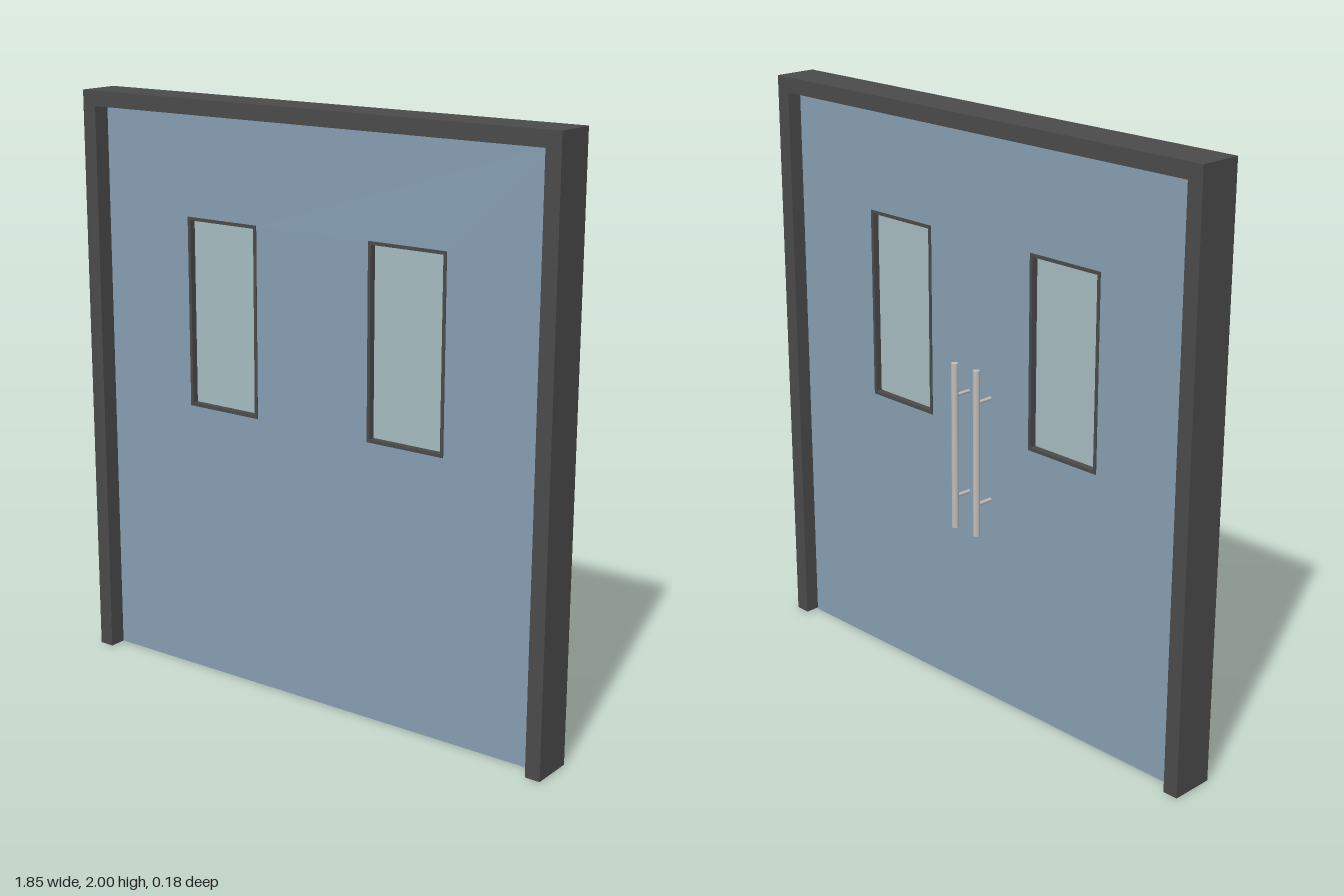
import * as THREE from 'three';

const paint = (name, color) => {
  const m = new THREE.MeshStandardMaterial({ color });
  m.name = name;
  return m;
};

// Closed path of a rectangle, for outlines and holes
const rect = (Type, x0, x1, y0, y1) =>
  new Type([[x0, y0], [x1, y0], [x1, y1], [x0, y1]].map(([x, y]) => new THREE.Vector2(x, y)));

// Extrude a shape between two z planes
const slab = (shape, z0, z1) =>
  new THREE.ExtrudeGeometry(shape, { depth: z1 - z0, bevelEnabled: false }).translate(0, 0, z0);

export function createModel() {
  const frameGrey = paint('frame grey', 0x4a4a4a);
  const doorBlue = paint('door blue', 0x869eb2);
  const glassGreen = paint('pale glass', 0xa5bbc0);
  const steel = paint('brushed steel', 0xbfbbb8);

  const model = new THREE.Group();
  model.name = 'doubleDoor';
  const add = (name, geometry, material, parent = model) => {
    const mesh = new THREE.Mesh(geometry, material);
    mesh.name = name;
    parent.add(mesh);
    return mesh;
  };

  // Surrounding frame: two jambs and a header in one piece
  const W = 0.923, J = 0.87, H = 1.948;
  const arch = new THREE.Shape(
    [[-W, 0], [-J, 0], [-J, H], [J, H], [J, 0], [W, 0], [W, 2], [-W, 2]]
      .map(([x, y]) => new THREE.Vector2(x, y)));
  add('doorFrame', slab(arch, -0.06, 0.09), frameGrey);

  // Door panel with two window openings
  const y0 = 0.953, y1 = 1.602, rim = 0.011;
  const windows = [[-0.518, -0.228], [0.218, 0.508]];
  const panel = rect(THREE.Shape, -0.87, 0.863, 0, H);
  for (const [x0, x1] of windows) {
    panel.holes.push(rect(THREE.Path, x0 + 0.003, x1 - 0.003, y0 + 0.003, y1 - 0.003));
  }
  add('doorPanel', slab(panel, -0.015, 0.03), doorBlue);

  // Window casings and panes
  for (const [x0, x1] of windows) {
    const group = new THREE.Group();
    group.name = 'window';
    model.add(group);
    const casing = rect(THREE.Shape, x0, x1, y0, y1);
    casing.holes.push(rect(THREE.Path, x0 + rim, x1 - rim, y0 + rim, y1 - rim));
    add('windowCasing', slab(casing, -0.018, 0.033), frameGrey, group);
    const pane = rect(THREE.Shape, x0 + rim, x1 - rim, y0 + rim, y1 - rim);
    add('windowPane', slab(pane, 0.0045, 0.0105), glassGreen, group);
  }

  // Pull bars on the back, each on two standoffs
  for (const x of [-0.055, 0.045]) {
    const handle = new THREE.Group();
    handle.name = 'pullHandle';
    handle.position.x = x;
    model.add(handle);
    add('pullBar', new THREE.CylinderGeometry(0.0115, 0.0115, 0.575, 24), steel, handle)
      .position.set(0, 0.905, -0.0785);
    for (const y of [0.728, 1.082]) {
      const post = new THREE.CylinderGeometry(0.006, 0.006, 0.064, 16).rotateX(Math.PI / 2);
      add('standoff', post, steel, handle).position.set(0, y, -0.046);
    }
  }
  return model;
}
